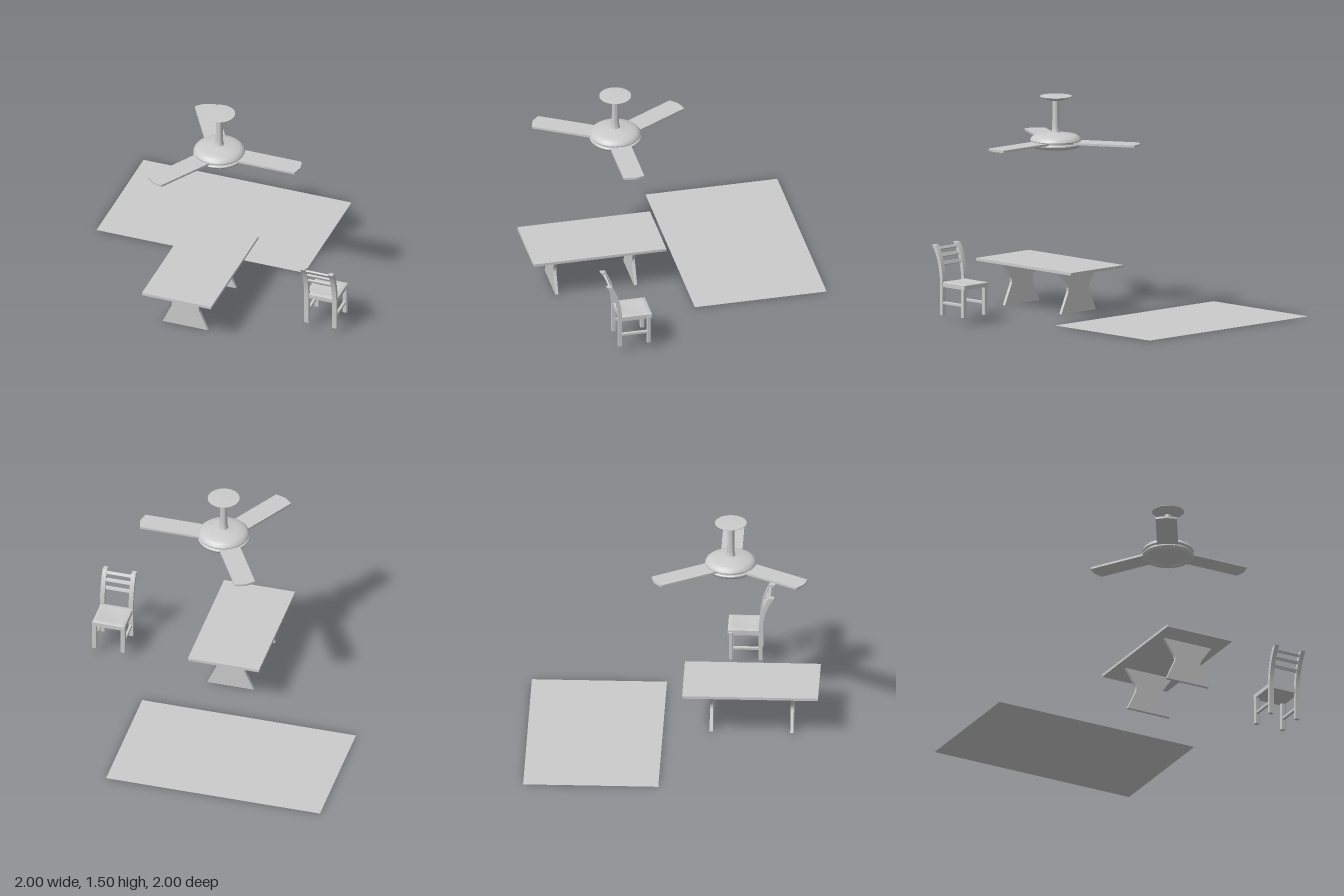
import * as THREE from 'three';
import { toCreasedNormals } from 'three/addons/utils/BufferGeometryUtils.js';
import { RoundedBoxGeometry } from 'three/addons/geometries/RoundedBoxGeometry.js';

const grey = new THREE.MeshStandardMaterial({ color: 0xcccccc });
const greyThin = new THREE.MeshStandardMaterial({ color: 0xcccccc, side: THREE.DoubleSide });

function add(parent, name, geometry, x = 0, y = 0, z = 0, material = grey) {
  const mesh = new THREE.Mesh(geometry, material);
  mesh.name = name;
  mesh.position.set(x, y, z);
  parent.add(mesh);
  return mesh;
}

function group(name, x = 0, y = 0, z = 0) {
  const g = new THREE.Group();
  g.name = name;
  g.position.set(x, y, z);
  return g;
}

const points = (list) => list.map(([x, y]) => new THREE.Vector2(x, y));

// Smooth turned part; the profile runs from bottom to top
const turned = (profile) => toCreasedNormals(new THREE.LatheGeometry(points(profile), 48), 0.6);

// Flat shape extruded along z and centred on it
function slab(shape, depth) {
  const geo = new THREE.ExtrudeGeometry(shape, { depth, bevelEnabled: false, curveSegments: 10 });
  geo.translate(0, 0, -depth / 2);
  return toCreasedNormals(geo, 0.5);
}

function createRug() {
  const geo = new THREE.PlaneGeometry(1.525, 0.93).rotateX(-Math.PI / 2);
  const rug = group('rug');
  add(rug, 'rugSheet', geo, -0.2375, 0.001, -0.535, greyThin);
  return rug;
}

function createTable() {
  const table = group('table', -0.0165, 0, 0.5325);
  add(table, 'tableTop', new THREE.BoxGeometry(0.507, 0.019, 0.935), 0, 0.309, 0);

  // Waisted panel leg
  const leg = new THREE.Shape();
  leg.moveTo(-0.166, 0);
  leg.lineTo(0.166, 0);
  leg.lineTo(0.104, 0.135);
  leg.quadraticCurveTo(0.09, 0.163, 0.108, 0.19);
  leg.lineTo(0.184, 0.3);
  leg.lineTo(-0.184, 0.3);
  leg.lineTo(-0.108, 0.19);
  leg.quadraticCurveTo(-0.09, 0.163, -0.104, 0.135);
  leg.closePath();
  const geo = slab(leg, 0.022);
  add(table, 'tableLegFront', geo, 0, 0, 0.284);
  add(table, 'tableLegBack', geo, 0, 0, -0.271);
  return table;
}

function createChair() {
  const chair = group('chair', 0.8805, 0.053, 0);
  const legX = 0.102;

  // Rear leg and raked back post in one piece, drawn as z against y
  const post = new THREE.Shape();
  post.moveTo(0.551, 0);
  post.lineTo(0.577, 0);
  post.lineTo(0.577, 0.24);
  post.bezierCurveTo(0.584, 0.33, 0.608, 0.42, 0.657, 0.482);
  post.lineTo(0.62, 0.482);
  post.bezierCurveTo(0.582, 0.42, 0.556, 0.34, 0.551, 0.24);
  post.closePath();
  const postGeo = slab(post, 0.032).rotateY(-Math.PI / 2);

  for (const side of [-1, 1]) {
    add(chair, 'backPost', postGeo, side * legX, 0, 0);
    add(chair, 'frontLeg', new RoundedBoxGeometry(0.032, 0.215, 0.028, 2, 0.005), side * legX, 0.1075, 0.36);
    add(chair, 'sideStretcher', new RoundedBoxGeometry(0.02, 0.021, 0.2, 2, 0.004), side * legX, 0.086, 0.46);
  }

  // Seat with a shallow scoop in its upper face
  const seatGeo = new THREE.BoxGeometry(0.23, 0.038, 0.228, 16, 1, 16);
  const pos = seatGeo.attributes.position;
  for (let i = 0; i < pos.count; i++) {
    if (pos.getY(i) <= 0) continue;
    const u = pos.getX(i) / 0.115, v = pos.getZ(i) / 0.114;
    const scoop = 0.008 * (1 - u * u) * (1 - v * v);
    const edge = 0.008 * Math.max(Math.abs(u) ** 12, Math.abs(v) ** 12);
    pos.setY(i, 0.019 - scoop - edge);
  }
  add(chair, 'seat', toCreasedNormals(seatGeo, 0.7), 0, 0.217, 0.452);

  // Three slats following the rake: height, thickness in y, z, tilt
  for (const [y, h, z, tilt] of [[0.356, 0.027, 0.585, 0.32], [0.41, 0.027, 0.604, 0.42], [0.456, 0.023, 0.624, 0.52]]) {
    const slat = add(chair, 'backSlat', new RoundedBoxGeometry(0.19, h, 0.014, 2, 0.004), 0, y, z);
    slat.rotation.x = tilt;
  }
  return chair;
}

function createFan() {
  const fan = group('ceilingFan', 0.07, 0, 0.387);

  // Canopy and rod
  add(fan, 'canopy', turned([[0, 1.466], [0.04, 1.468], [0.075, 1.477], [0.11, 1.494], [0.11, 1.497], [0.06, 1.499], [0, 1.5]]));
  add(fan, 'rod', turned([[0.036, 1.235], [0.029, 1.255], [0.026, 1.28], [0.024, 1.34], [0.024, 1.47]]));

  // Motor housing: domed upper shell, core, and lower ring around a recessed plate
  add(fan, 'upperHousing', turned([
    [0, 1.184], [0.165, 1.184], [0.175, 1.187], [0.177, 1.193], [0.173, 1.203], [0.16, 1.216],
    [0.142, 1.226], [0.1, 1.234], [0.06, 1.24], [0.03, 1.246], [0, 1.246],
  ]));
  add(fan, 'motorCore', new THREE.CylinderGeometry(0.16, 0.16, 0.02, 48), 0, 1.179, 0);
  add(fan, 'lowerRing', turned([
    [0, 1.15], [0.125, 1.15], [0.13, 1.143], [0.14, 1.139], [0.155, 1.14], [0.168, 1.149],
    [0.177, 1.162], [0.177, 1.169], [0.172, 1.174], [0, 1.174],
  ]));

  // Three flat blades with blunt pointed tips
  const blade = new THREE.Shape(points([
    [0.1, -0.073], [0.577, -0.073], [0.587, -0.04], [0.595, 0], [0.587, 0.04], [0.577, 0.073], [0.1, 0.073],
  ]));
  const bladeGeo = slab(blade, 0.015).rotateX(Math.PI / 2);
  for (let i = 0; i < 3; i++) {
    const mesh = add(fan, 'blade', bladeGeo, 0, 1.179, 0);
    mesh.rotation.y = (i * Math.PI * 2) / 3;
  }
  return fan;
}

export function createModel() {
  const model = group('diningSet');
  model.add(createRug(), createTable(), createChair(), createFan());
  return model;
}
